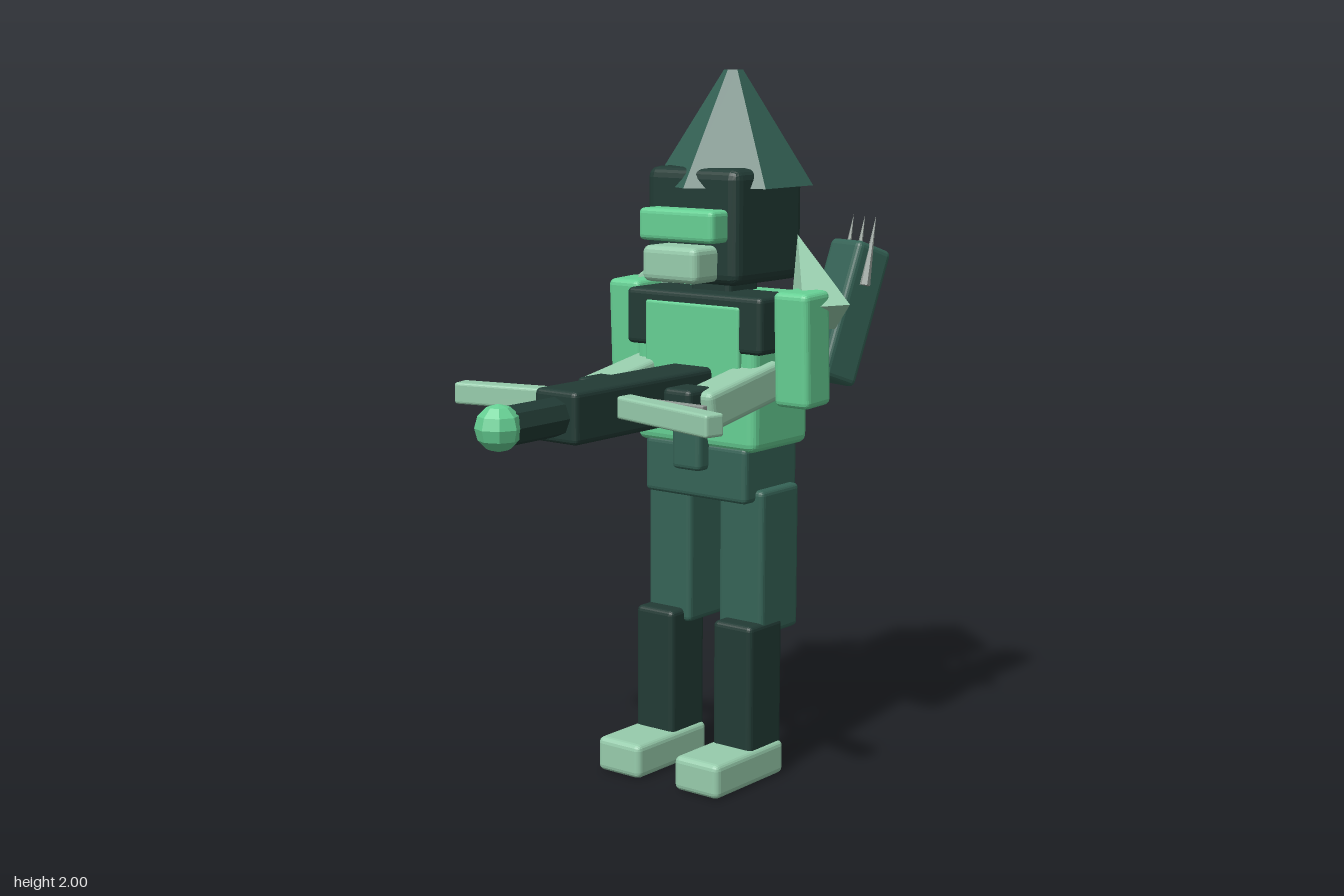
import * as THREE from 'three';
import { RoundedBoxGeometry } from 'three/addons/geometries/RoundedBoxGeometry.js';

const material = (name, color, flat = false) => {
  const m = new THREE.MeshStandardMaterial({ color });
  m.name = name;
  m.flatShading = flat;
  return m;
};

export function createModel() {
  const model = new THREE.Group();
  model.name = 'hoodedGuard';

  const green = material('brightGreen', 0x66d094, true);
  const pale = material('paleGreen', 0x97ccac, true);
  const dark = material('darkGreen', 0x223b35, true);
  const teal = material('tealGreen', 0x356356, true);
  const grey = material('grey', 0x8d9791, true);

  const add = (name, geometry, mat, x = 0, y = 0, z = 0) => {
    const mesh = new THREE.Mesh(geometry, mat);
    mesh.name = name;
    mesh.position.set(x, y, z);
    model.add(mesh);
    return mesh;
  };
  // Softly bevelled box from its centre and size
  const block = (name, mat, [x, y, z], [w, h, d], r = 0.015) =>
    add(name, new RoundedBoxGeometry(w, h, d, 2, Math.min(r, w / 3, h / 3, d / 3)), mat, x, y, z);

  // Head and hat
  add('hat', new THREE.CylinderGeometry(0.027, 0.227, 0.32, 6), teal, 0, 1.84, -0.366);
  block('head', dark, [0, 1.575, -0.33], [0.32, 0.32, 0.32], 0.03);
  block('visor', green, [0, 1.58, -0.15], [0.26, 0.09, 0.1]);
  block('jaw', pale, [0, 1.475, -0.13], [0.19, 0.1, 0.12], 0.02);
  block('neck', dark, [0, 1.4, -0.33], [0.14, 0.08, 0.14]);

  // Torso
  block('torso', green, [0, 1.17, -0.322], [0.42, 0.435, 0.265], 0.025);
  block('collar', dark, [0, 1.31, -0.27], [0.475, 0.16, 0.18]);
  block('chestPlate', green, [0, 1.24, -0.2], [0.33, 0.24, 0.05], 0.008);
  block('belt', teal, [0, 0.885, -0.318], [0.36, 0.16, 0.25]);
  block('cape', teal, [0, 0.82, -0.467], [0.28, 0.44, 0.045]).rotation.x = -0.09;

  // Limbs
  for (const s of [1, -1]) {
    block('thigh', teal, [s * 0.128, 0.63, -0.33], [0.155, 0.42, 0.18]);
    block('shin', dark, [s * 0.14, 0.265, -0.263], [0.135, 0.39, 0.155]);
    block('foot', pale, [s * 0.14, 0.05, -0.18], [0.155, 0.1, 0.32], 0.018);
    block('upperArm', green, [s * 0.293, 1.245, -0.297], [0.115, 0.32, 0.12], 0.018).rotation.x = 0.04;
    block('forearm', pale, [s * 0.183, 1.127, -0.13], [0.105, 0.11, 0.33], 0.018).rotation.x = 0.17;
    block('hand', dark, [s * 0.152, 1.115, 0.033], [0.095, 0.1, 0.105]);

    // Four-sided shoulder spike leaning inward and back
    const axis = new THREE.Vector3(-s * 0.135, 0.22, -0.083).normalize();
    const corner = new THREE.Vector3(s * 0.09, 0.025, -0.018);
    corner.addScaledVector(axis, -corner.dot(axis)).normalize();
    const side = new THREE.Vector3().crossVectors(axis, corner);
    const spike = add('shoulderSpike', new THREE.ConeGeometry(0.097, 0.27, 4), pale,
      s * 0.248, 1.435, -0.388);
    spike.quaternion.setFromRotationMatrix(new THREE.Matrix4().makeBasis(side, axis, corner));
  }

  // Crossbow
  block('crossbowStock', dark, [0, 1.115, 0.1], [0.145, 0.142, 0.6]);
  block('crossbowGrip', teal, [0, 0.99, -0.2], [0.1, 0.2, 0.1]);
  const barrel = add('crossbowBarrel', new THREE.CylinderGeometry(0.053, 0.053, 0.22, 8), dark, 0, 1.115, 0.48);
  barrel.rotation.x = Math.PI / 2;
  add('crossbowTip', new THREE.SphereGeometry(0.062, 8, 6), green, 0, 1.115, 0.614);
  for (const s of [1, -1]) {
    const limb = block('crossbowLimb', pale, [s * 0.24, 1.125, 0.244], [0.42, 0.06, 0.06], 0.008);
    limb.rotation.y = -s * 0.245;
  }
  block('crossbowString', grey, [0, 1.125, 0.11], [0.54, 0.02, 0.02], 0.003);

  // Quiver with arrow points
  const quiver = block('quiver', teal, [0.267, 1.322, -0.535], [0.13, 0.4, 0.13], 0.018);
  quiver.rotation.set(-0.34, -0.25, 0, 'YXZ');
  for (const x of [0.265, 0.303, 0.34]) {
    const point = add('arrowPoint', new THREE.ConeGeometry(0.016, 0.2, 6), grey, x, 1.5, -0.558);
    point.rotation.x = -0.27;
  }

  return model;
}
